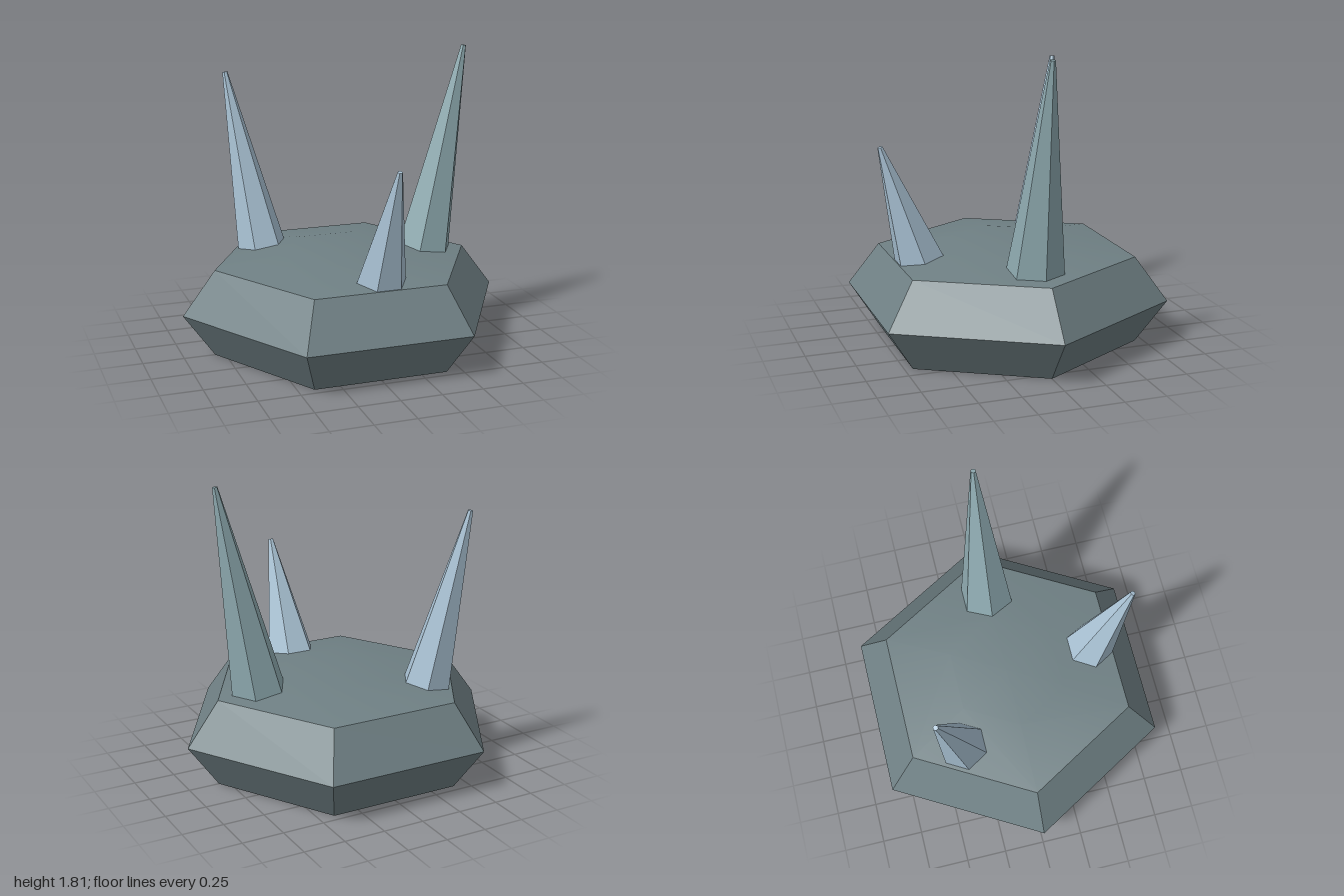
import * as THREE from 'three';
import { toCreasedNormals } from 'three/addons/utils/BufferGeometryUtils.js';

const UP = new THREE.Vector3(0, 1, 0);

export function createModel() {
  const model = new THREE.Group();
  model.name = 'spikedRock';
  const stone = new THREE.MeshStandardMaterial({ name: 'greyStone', color: 0x6f8084 });
  const teal = new THREE.MeshStandardMaterial({ name: 'tealCrystal', color: 0x8fabb1 });
  const blue = new THREE.MeshStandardMaterial({ name: 'paleBlueCrystal', color: 0xabc4d6 });

  // Hexagonal base: bevelled rim and a shallow domed top, corners on the x axis
  const profile = [[0, 0], [0.81, 0], [1, 0.267], [0.8, 0.533], [0.37, 0.592], [0, 0.594]]
    .map(([r, y]) => new THREE.Vector2(r, y));
  const base = new THREE.Mesh(
    toCreasedNormals(new THREE.LatheGeometry(profile, 6, Math.PI / 2), 0.4), stone);
  base.name = 'base';
  model.add(base);

  // Six-sided spike leaning from its foot to its tip, with its root sunk in the base
  function addSpike(name, foot, tip, radius, material) {
    const start = new THREE.Vector3(...foot);
    const end = new THREE.Vector3(...tip);
    const axis = end.clone().sub(start);
    const length = axis.length();
    axis.normalize();
    const sunk = 0.08;
    const tipRadius = 0.016;
    const rootRadius = radius + (radius - tipRadius) * sunk / length;
    const geometry = new THREE.CylinderGeometry(
      tipRadius, rootRadius, length + sunk, 6, 1, false, Math.PI / 2);
    geometry.translate(0, (length - sunk) / 2, 0);
    const spike = new THREE.Mesh(toCreasedNormals(geometry, 0.4), material);
    spike.name = name;
    spike.position.copy(start);
    spike.quaternion.setFromUnitVectors(UP, axis);
    model.add(spike);
  }

  addSpike('tallSpike', [0.54, 0.56, 0], [0.78, 1.805, 0], 0.17, teal);
  addSpike('middleSpike', [-0.41, 0.56, -0.375], [-0.58, 1.63, -0.532], 0.15, blue);
  addSpike('shortSpike', [0.047, 0.555, 0.56], [0.066, 1.243, 0.783], 0.15, blue);

  return model;
}
